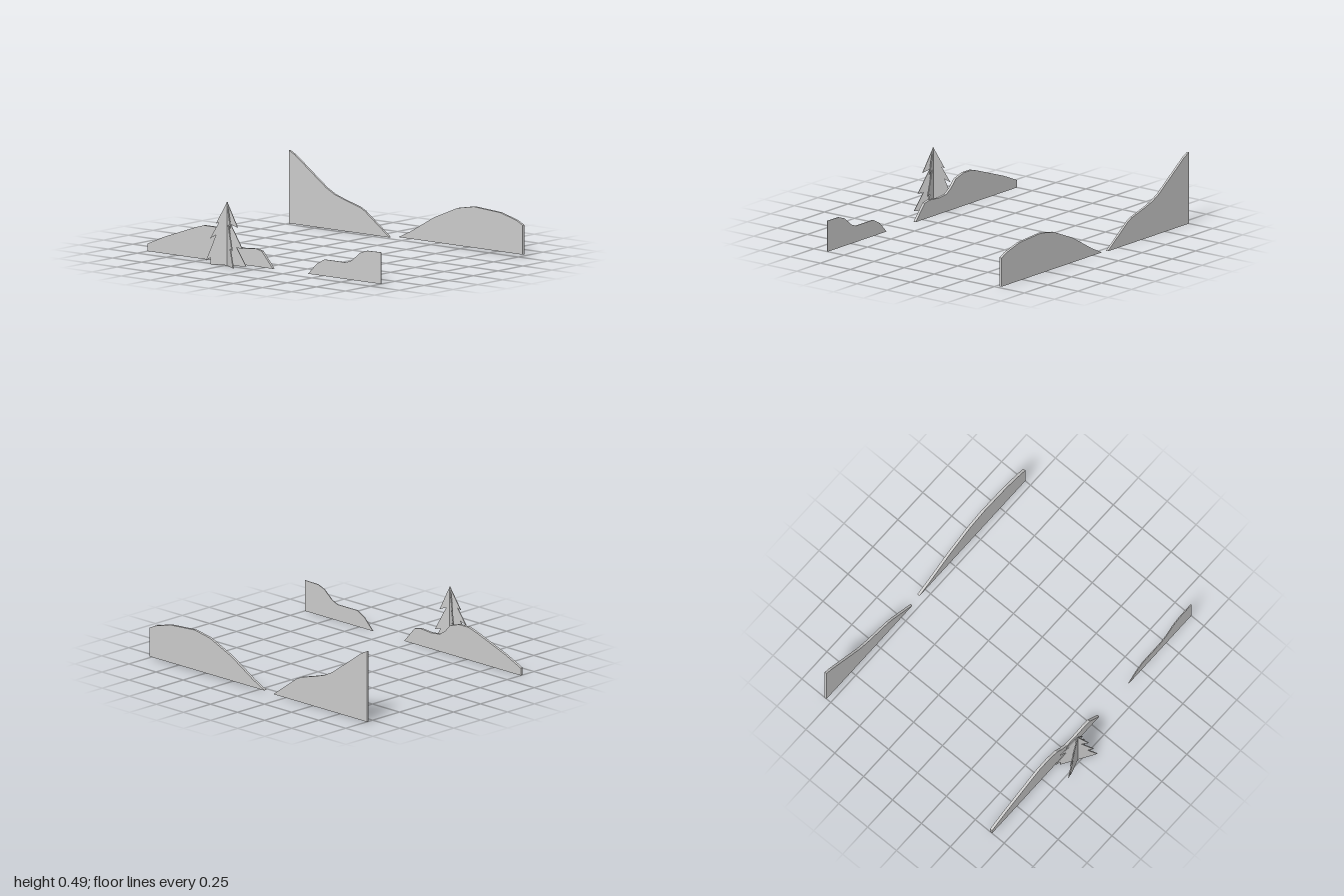
import * as THREE from 'three';

const material = new THREE.MeshStandardMaterial({ color: 0xcccccc, flatShading: true });

// Upright board cut from an outline, with its thickness centred on local z = 0
function board(name, points, thickness) {
  const shape = new THREE.Shape(points.map(([x, y]) => new THREE.Vector2(x, y)));
  const geometry = new THREE.ExtrudeGeometry(shape, { depth: thickness, bevelEnabled: false });
  geometry.translate(0, 0, -thickness / 2);
  const mesh = new THREE.Mesh(geometry, material);
  mesh.name = name;
  return mesh;
}

// Hill silhouettes: ridge from left to right, closed along a flat base
const hills = [
  { name: 'backHillTall', z: -0.795, thickness: 0.016, base: 0, ridge: [
    [-1, 0.485], [-0.95, 0.46], [-0.68, 0.27], [-0.61, 0.235], [-0.53, 0.21],
    [-0.39, 0.172], [-0.35, 0.152], [-0.14, 0.002]] },
  { name: 'backHillRound', z: -0.802, thickness: 0.018, base: 0.01, ridge: [
    [-0.062, 0.012], [0.04, 0.06], [0.24, 0.175], [0.44, 0.258], [0.58, 0.283],
    [0.81, 0.268], [0.95, 0.23], [1, 0.205]] },
  { name: 'frontHillLong', z: 0.636, thickness: 0.018, base: 0, ridge: [
    [-1, 0.05], [-0.86, 0.11], [-0.6, 0.2], [-0.52, 0.224], [-0.43, 0.224], [-0.35, 0.2],
    [-0.3, 0.15], [-0.25, 0.118], [-0.17, 0.11], [-0.07, 0.118], [-0.02, 0.107], [0.075, 0.001]] },
  { name: 'frontHillStepped', z: 0.638, thickness: 0.006, base: 0, ridge: [
    [0.375, 0.001], [0.45, 0.075], [0.515, 0.11], [0.7, 0.11], [0.75, 0.13],
    [0.82, 0.187], [0.88, 0.208], [1, 0.21]] },
];

// Fir outline with jagged, uneven branches on the two sides
const fir = [
  [0, 0.42], [-0.08, 0.272], [-0.058, 0.282], [-0.12, 0.172], [-0.078, 0.198],
  [-0.15, 0.022], [-0.118, 0.045], [-0.12, 0], [0.135, 0],
  [0.068, 0.122], [0.108, 0.116], [0.025, 0.275], [0.075, 0.255],
];

export function createModel() {
  const model = new THREE.Group();
  model.name = 'landscapeCutouts';

  for (const { name, z, thickness, base, ridge } of hills) {
    const outline = [[ridge[0][0], base], [ridge.at(-1)[0], base], ...ridge.slice().reverse()];
    const hill = board(name, outline, thickness);
    hill.position.z = z;
    model.add(hill);
  }

  // Tree made from two crossing boards
  const tree = new THREE.Group();
  tree.name = 'tree';
  [-0.559, 0.305].forEach((turn, i) => {
    const half = board(`treeBoard${i + 1}`, fir, 0.007);
    half.rotation.y = turn;
    tree.add(half);
  });
  tree.position.set(-0.243, 0, 0.731);
  model.add(tree);
  return model;
}
